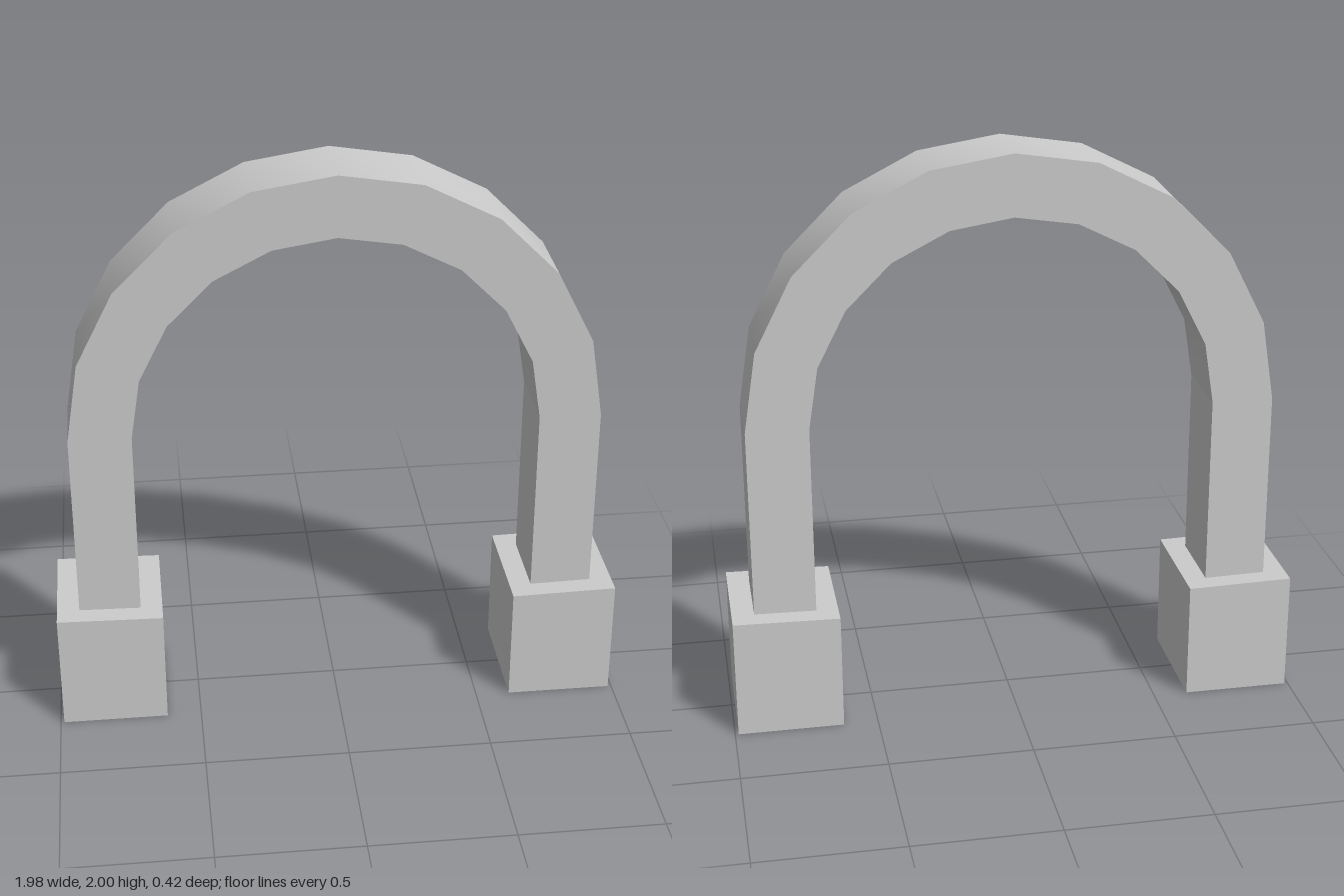
import * as THREE from 'three';
import { toCreasedNormals } from 'three/addons/utils/BufferGeometryUtils.js';

const OUTER = 0.91, INNER = 0.696, DEPTH = 0.274;
const SPRING_Y = 1.09, BASE_Y = 0.42, SEGMENTS = 10;

export function createModel() {
  const group = new THREE.Group();
  const material = new THREE.MeshStandardMaterial({ color: 0xcccccc, side: THREE.DoubleSide });
  const add = (name, geometry, x, y, z) => {
    const mesh = new THREE.Mesh(geometry, material);
    mesh.name = name;
    mesh.position.set(x, y, z);
    group.add(mesh);
  };

  // Half-ring arch: coarse segments, smooth along the curve, sharp at the rims
  const arc = (radius) => Array.from({ length: SEGMENTS + 1 }, (_, i) => {
    const a = (i / SEGMENTS) * Math.PI;
    return new THREE.Vector2(radius * Math.cos(a), radius * Math.sin(a));
  });
  const ring = new THREE.Shape([...arc(OUTER), ...arc(INNER).reverse()]);
  const arch = new THREE.ExtrudeGeometry(ring, { depth: DEPTH, bevelEnabled: false });
  add('arch', toCreasedNormals(arch, 0.6), 0, SPRING_Y, -DEPTH / 2);

  for (const [side, label] of [[1, 'left'], [-1, 'right']]) {
    // Straight leg under the arch
    const legHeight = SPRING_Y - BASE_Y + 0.01;
    add(label + 'Leg', new THREE.BoxGeometry(OUTER - INNER, legHeight, DEPTH),
      side * (OUTER + INNER) / 2, SPRING_Y - legHeight / 2, 0);

    // Base block: hollow from below, top sloping slightly down to the inside
    const base = new THREE.BoxGeometry(0.368, 0.42, 0.42);
    const index = Array.from(base.index.array);
    index.splice(18, 6); // bottom face
    base.setIndex(index);
    base.clearGroups();
    const p = base.attributes.position;
    for (let i = 0; i < p.count; i++) {
      if (p.getY(i) > 0) p.setY(i, 0.21 + Math.sign(p.getX(i)) * side * 0.004);
    }
    base.computeVertexNormals();
    add(label + 'Base', base, side * 0.804, 0.21, 0);
  }
  return group;
}
